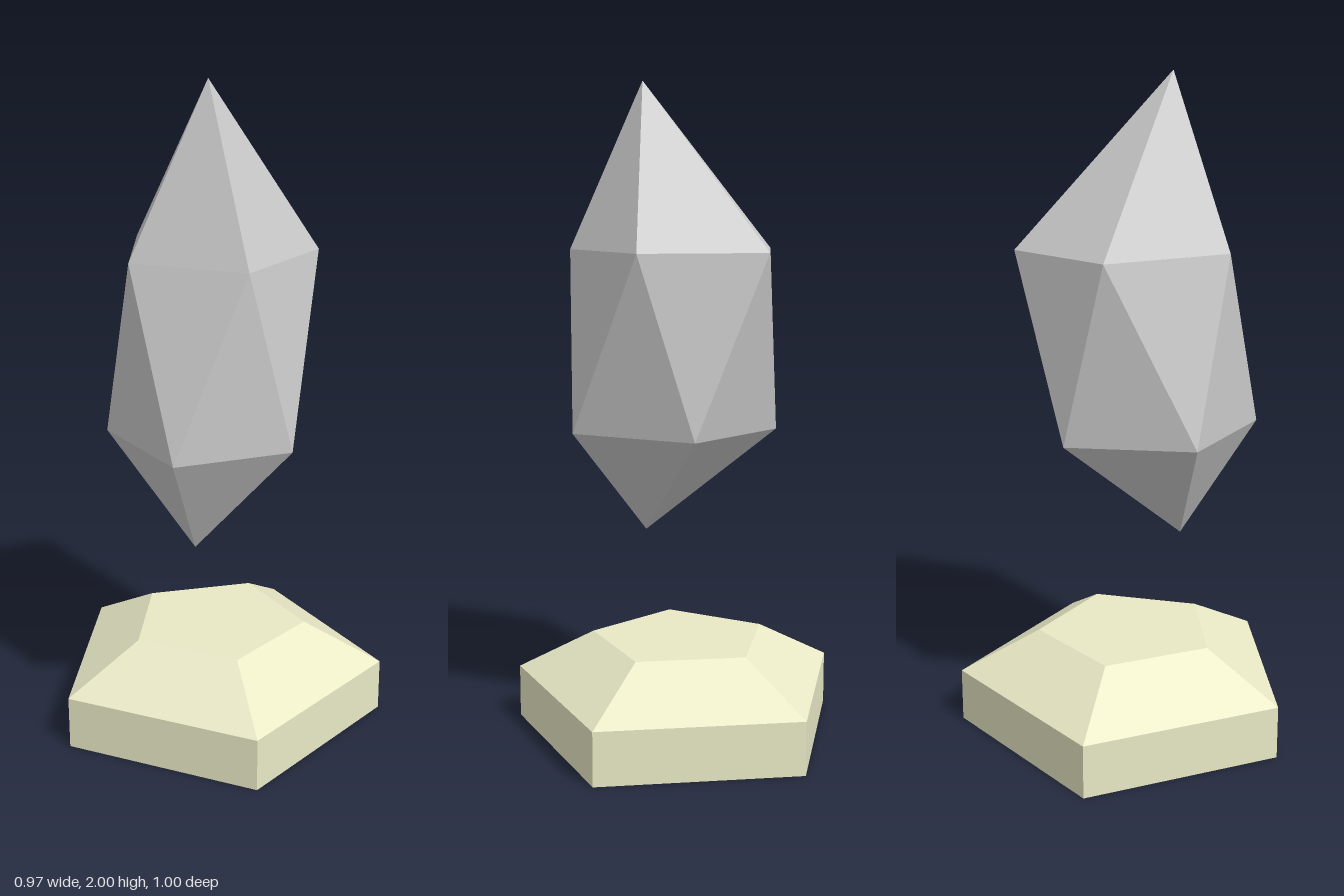
import * as THREE from 'three';

const SIDES = 5;

// Five-sided horizontal ring; angles run from +x towards +z
function ring(cx, y, cz, rx, rz, degrees) {
  return Array.from({ length: SIDES }, (_, i) => {
    const a = THREE.MathUtils.degToRad(degrees + (i * 360) / SIDES);
    return [cx + rx * Math.cos(a), y, cz + rz * Math.sin(a)];
  });
}

// Faceted solid from a top point, rings from top to bottom, and a bottom point
function facetedSolid(top, rings, bottom) {
  const points = [];
  for (let i = 0; i < SIDES; i++) {
    const j = (i + 1) % SIDES;
    const first = rings[0], last = rings[rings.length - 1];
    points.push(top, first[j], first[i]);
    for (let k = 0; k < rings.length - 1; k++) {
      const u = rings[k], l = rings[k + 1];
      points.push(u[j], l[i], u[i], u[j], l[j], l[i]);
    }
    points.push(bottom, last[i], last[j]);
  }
  const geometry = new THREE.BufferGeometry();
  geometry.setAttribute('position', new THREE.Float32BufferAttribute(points.flat(), 3));
  geometry.computeVertexNormals();
  return geometry;
}

function addPart(group, name, geometry, color) {
  const material = new THREE.MeshStandardMaterial({ color, flatShading: true });
  const mesh = new THREE.Mesh(geometry, material);
  mesh.name = name;
  group.add(mesh);
}

export function createModel() {
  const group = new THREE.Group();
  group.name = 'floatingCrystal';

  // Pentagonal pedestal with a bevelled top
  const bx = -0.039, bz = -0.014, r = 0.526, turn = 4.5;
  addPart(group, 'pedestal', facetedSolid(
    [bx, 0.297, bz],
    [
      ring(bx, 0.297, bz, r * 0.535, r * 0.535, turn),
      ring(bx, 0.165, bz, r, r, turn),
      ring(bx, 0, bz, r, r, turn),
    ],
    [bx, 0, bz],
  ), 0xe9e9c6);

  // Leaning crystal: two rings offset by half a step between off-centre tips
  addPart(group, 'crystal', facetedSolid(
    [-0.055, 2, 0.12],
    [
      ring(-0.036, 1.5, -0.011, 0.301, 0.339, 0),
      ring(-0.061, 0.957, 0.042, 0.304, 0.339, 36),
    ],
    [-0.1, 0.613, 0.133],
  ), 0xcccccc);

  return group;
}
